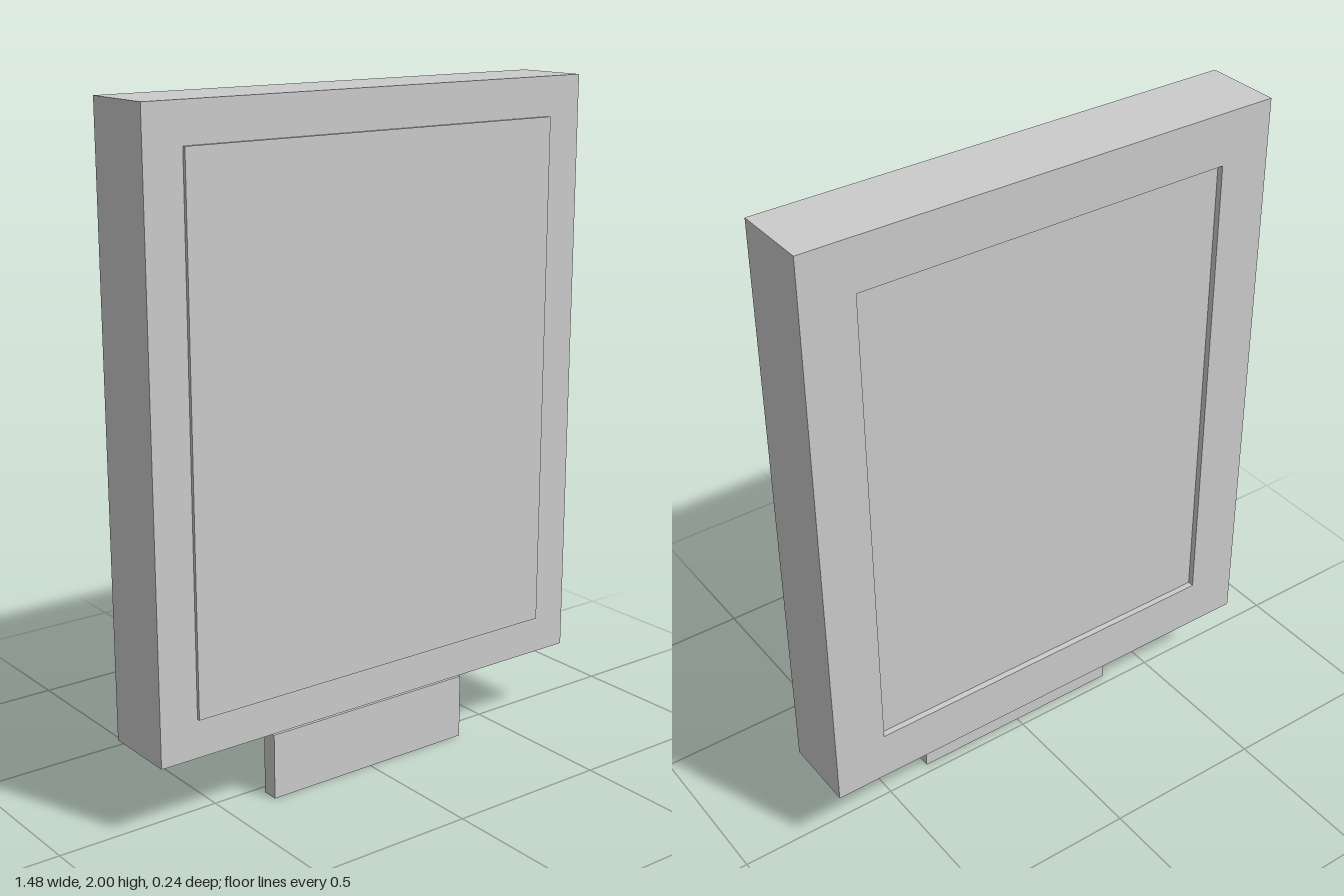
import * as THREE from 'three';

const material = new THREE.MeshStandardMaterial({ color: 0xcccccc, flatShading: true });

// Box given by its low and high corners
function box(name, [x0, y0, z0], [x1, y1, z1]) {
  const mesh = new THREE.Mesh(new THREE.BoxGeometry(x1 - x0, y1 - y0, z1 - z0), material);
  mesh.name = name;
  mesh.position.set((x0 + x1) / 2, (y0 + y1) / 2, (z0 + z1) / 2);
  return mesh;
}

// Points of a rectangle centred on x = 0
function rectangle(halfWidth, y0, y1) {
  return [[-1, y0], [1, y0], [1, y1], [-1, y1]].map(([s, y]) => new THREE.Vector2(s * halfWidth, y));
}

export function createModel() {
  const model = new THREE.Group();
  model.name = 'displayPanel';

  // Deep casing, open in the middle
  const outline = new THREE.Shape(rectangle(0.74, 0.22, 2));
  outline.holes.push(new THREE.Path(rectangle(0.58, 0.375, 1.845)));
  const casing = new THREE.Mesh(
    new THREE.ExtrudeGeometry(outline, { depth: 0.232, bevelEnabled: false }), material);
  casing.name = 'casing';
  casing.position.z = -0.121;
  model.add(casing);

  // Back panel sunk into the casing, front screen standing slightly proud
  model.add(box('backPanel', [-0.58, 0.375, -0.102], [0.58, 1.845, 0.111]));
  model.add(box('screen', [-0.622, 0.335, 0.111], [0.622, 1.885, 0.121]));

  // Thin foot plate below the casing, separated by a small gap
  model.add(box('foot', [-0.348, 0, 0.03], [0.348, 0.198, 0.08]));
  return model;
}
